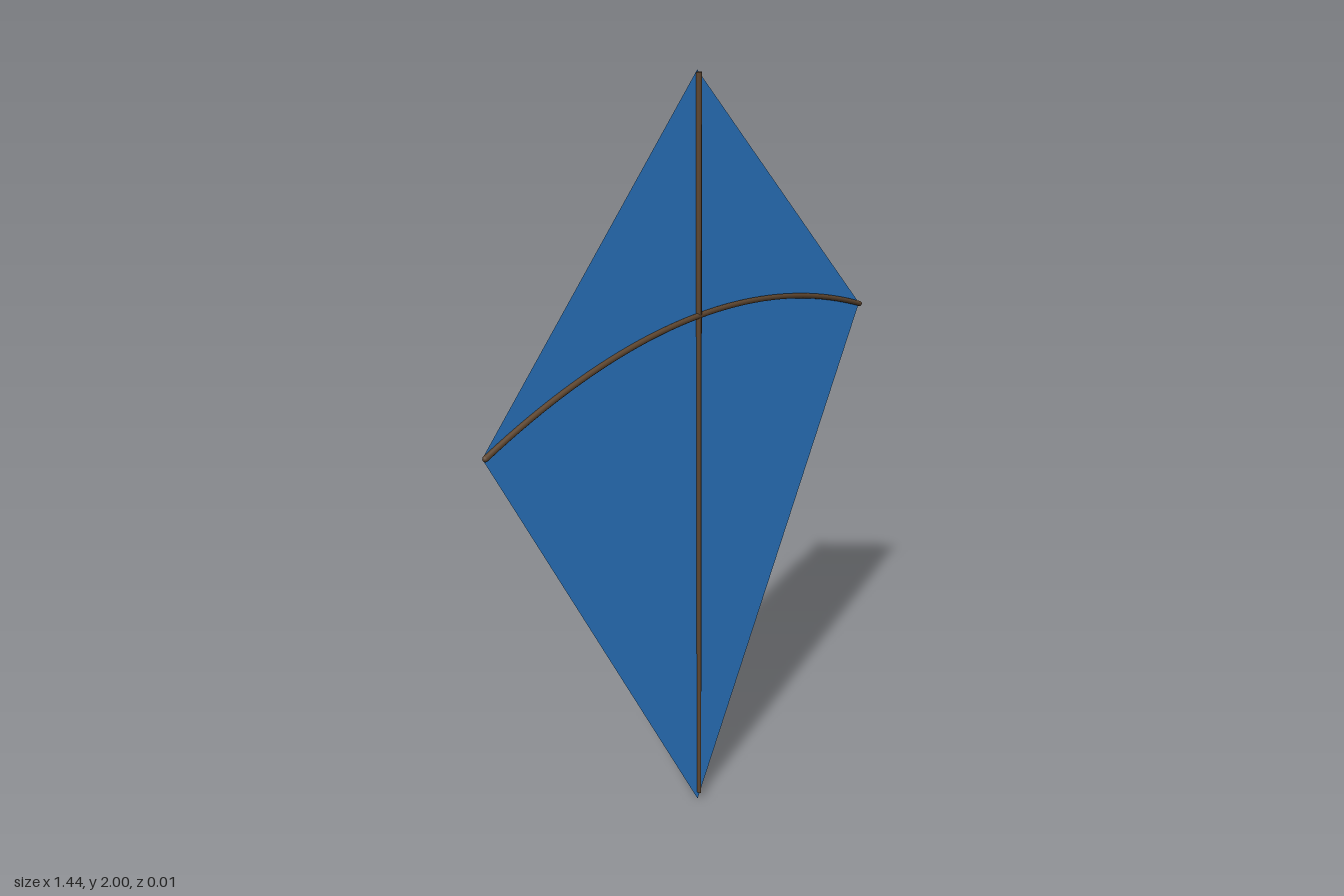
import * as THREE from 'three';

export function createModel() {
  const kite = new THREE.Group();
  kite.name = 'kite';
  const cloth = new THREE.MeshStandardMaterial({ color: 0x2e80d2, side: THREE.DoubleSide });
  const wood = new THREE.MeshStandardMaterial({ color: 0x5e4630 });
  const add = (name, geometry, material) => {
    const mesh = new THREE.Mesh(geometry, material);
    mesh.name = name;
    kite.add(mesh);
    return mesh;
  };

  // Flat diamond sail, just behind the centre line of the spars
  const outline = new THREE.Shape([[0, 0], [0.72, 1.28], [0, 2], [-0.72, 1.28]]
    .map(([x, y]) => new THREE.Vector2(x, y)));
  add('sail', new THREE.ShapeGeometry(outline), cloth).position.z = -0.005;

  // Upright spine, slimmer across towards the tail
  const spine = new THREE.CylinderGeometry(0.007, 0.007, 1.97, 12, 8);
  const p = spine.attributes.position;
  for (let i = 0; i < p.count; i++) {
    p.setX(i, p.getX(i) * THREE.MathUtils.mapLinear(p.getY(i), -0.985, 0.985, 0.6, 1.1));
  }
  spine.computeVertexNormals();
  add('spine', spine, wood).position.y = 1.01;

  // Bowed cross spar from wing tip to wing tip
  const bow = new THREE.QuadraticBezierCurve3(
    new THREE.Vector3(-0.715, 1.28, 0),
    new THREE.Vector3(0, 1.56, 0),
    new THREE.Vector3(0.715, 1.28, 0)
  );
  add('crossSpar', new THREE.TubeGeometry(bow, 40, 0.007, 12), wood);

  // End caps of the cross spar
  for (const side of [-1, 1]) {
    add(side > 0 ? 'leftSparTip' : 'rightSparTip', new THREE.SphereGeometry(0.007, 12, 8), wood)
      .position.set(side * 0.715, 1.28, 0);
  }
  return kite;
}
